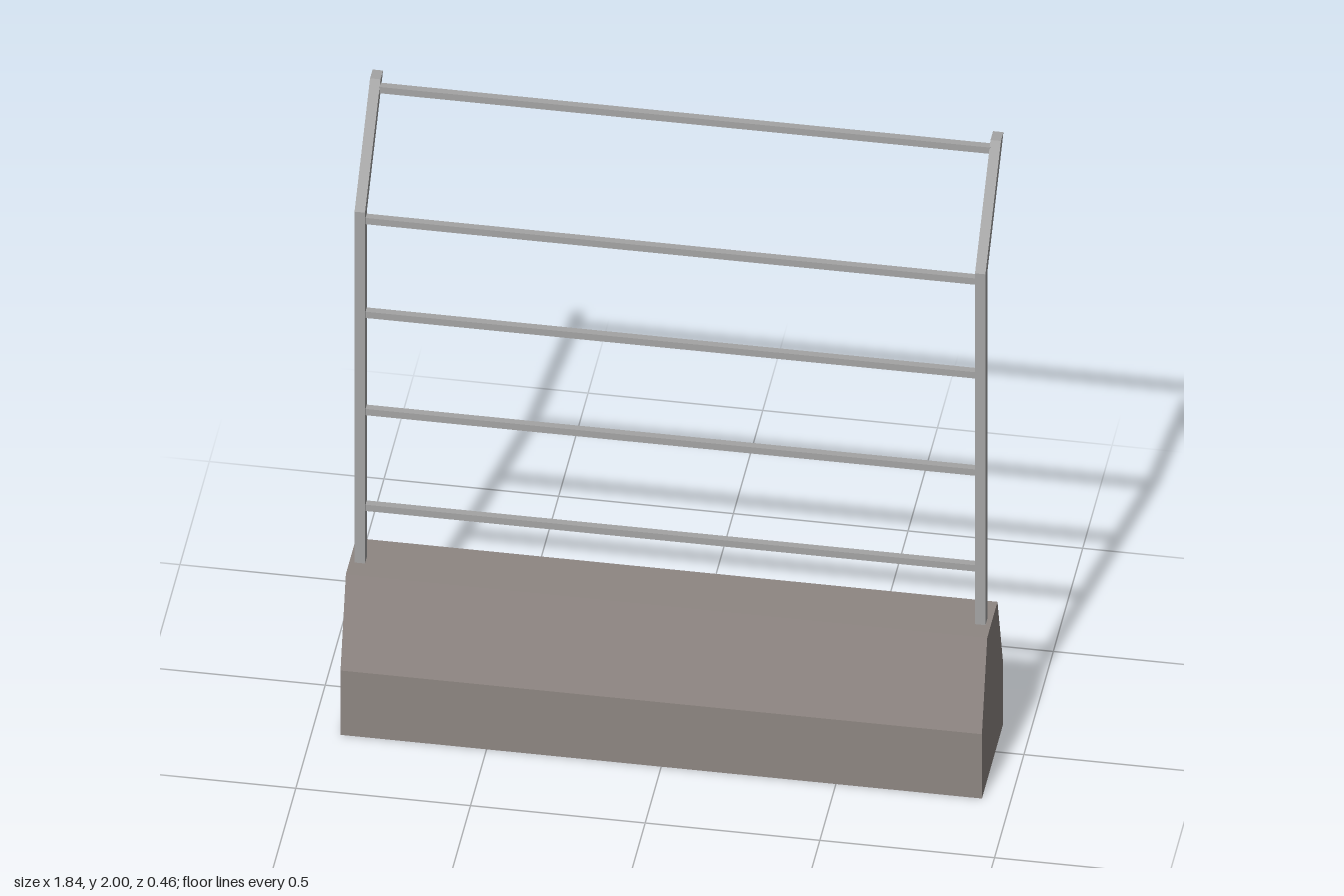
import * as THREE from 'three';

const concrete = new THREE.MeshStandardMaterial({ name: 'concrete', color: 0x8e8682 });
const steel = new THREE.MeshStandardMaterial({ name: 'steel', color: 0xa4a4a4 });

// Extrude a side profile, given as [z, y] points, along x and centre it on x
function profileMesh(name, points, width, material) {
  const shape = new THREE.Shape(points.map(([z, y]) => new THREE.Vector2(z, y)));
  const geometry = new THREE.ExtrudeGeometry(shape, { depth: width, bevelEnabled: false });
  geometry.translate(0, 0, -width / 2).rotateY(-Math.PI / 2);
  const mesh = new THREE.Mesh(geometry, material);
  mesh.name = name;
  return mesh;
}

export function createModel() {
  const model = new THREE.Group();
  model.name = 'fencedBarrier';

  // Concrete base with sloping shoulders
  model.add(profileMesh('base', [
    [0.227, 0], [0.227, 0.225], [0.136, 0.497], [-0.038, 0.497], [-0.13, 0.225], [-0.13, 0],
  ], 1.836, concrete));

  // Upright posts with tops bent backwards and cut level
  for (const [name, side] of [['leftPost', 1], ['rightPost', -1]]) {
    const post = profileMesh(name, [
      [0.078, 0.49], [0.078, 1.724], [-0.186, 2], [-0.229, 2], [0.047, 1.706], [0.047, 0.49],
    ], 0.03, steel);
    post.position.x = side * 0.888;
    model.add(post);
  }

  // Horizontal rails, the last one at the end of the bent tops
  const rails = [[0.685, 0.058], [1.02, 0.058], [1.36, 0.058], [1.688, 0.058], [1.975, -0.179]];
  rails.forEach(([y, z], i) => {
    const rail = new THREE.Mesh(new THREE.BoxGeometry(1.75, 0.022, 0.021), steel);
    rail.name = `rail${i + 1}`;
    rail.position.set(0, y, z);
    model.add(rail);
  });

  return model;
}
